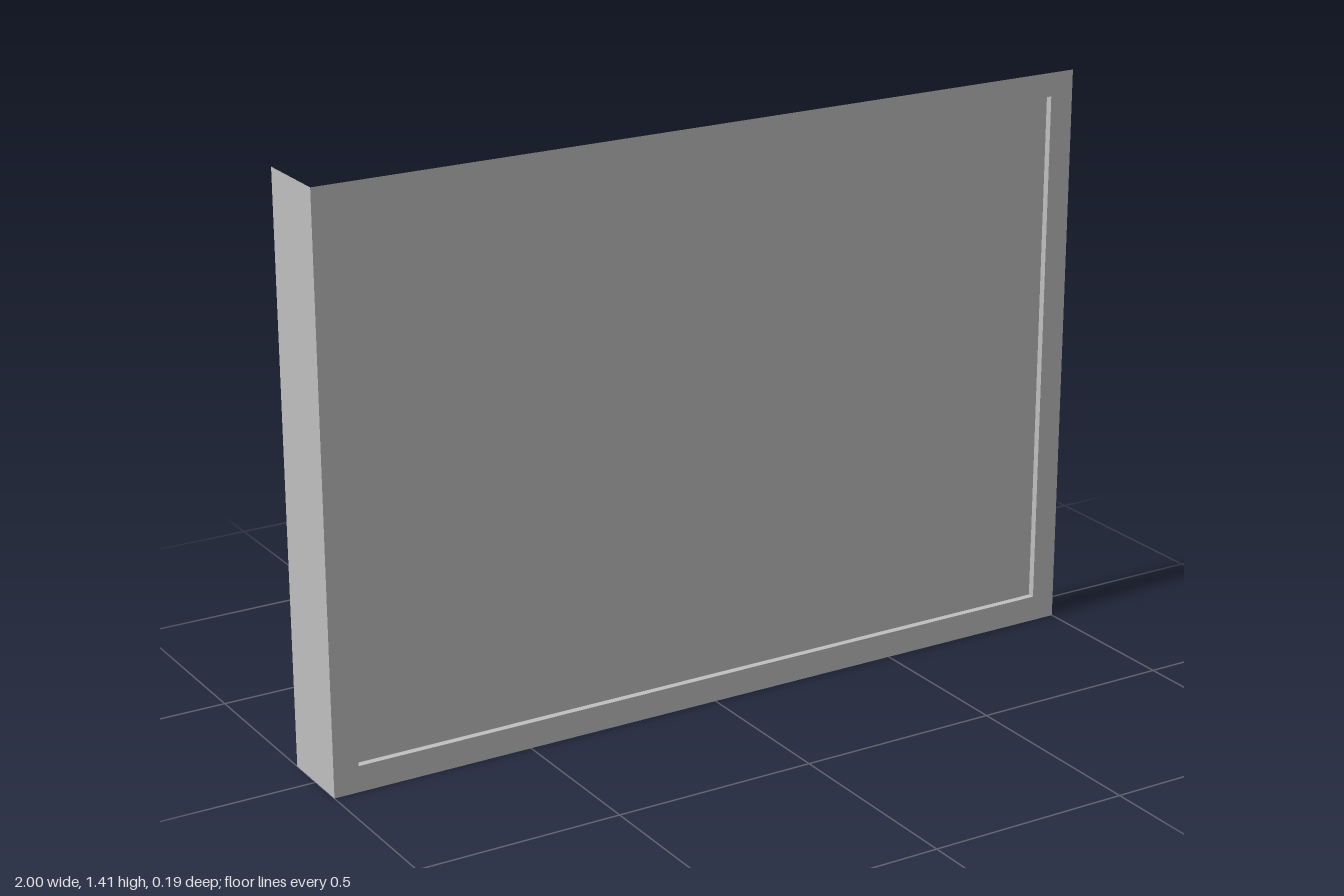
import * as THREE from 'three';

const W = 2, H = 1.41, ZF = 0.097, DEPTH = 0.194;        // overall casing
const OX = 0.938, Y0 = 0.064, Y1 = 1.352, ZP = 0.08;     // opening and recessed panel

export function createModel() {
  const group = new THREE.Group();
  const grey = new THREE.MeshStandardMaterial({ color: 0xc0c0c0, side: THREE.DoubleSide });
  grey.name = 'plain grey';

  const add = (name, geometry, x, y, z, rx = 0, ry = 0) => {
    const mesh = new THREE.Mesh(geometry, grey);
    mesh.name = name;
    mesh.position.set(x, y, z);
    mesh.rotation.set(rx, ry, 0);
    group.add(mesh);
  };
  const plane = (w, h) => new THREE.PlaneGeometry(w, h);

  // Front frame: a flat sheet with a rectangular opening
  const frame = new THREE.Shape([[-W / 2, 0], [W / 2, 0], [W / 2, H], [-W / 2, H]]
    .map(p => new THREE.Vector2(...p)));
  frame.holes.push(new THREE.Path([[-OX, Y0], [-OX, Y1], [OX, Y1], [OX, Y0]]
    .map(p => new THREE.Vector2(...p))));
  add('frontFrame', new THREE.ShapeGeometry(frame), 0, 0, ZF);

  // Recessed panel and the four returns joining it to the frame
  const midY = (Y0 + Y1) / 2, midZ = (ZF + ZP) / 2, d = ZF - ZP;
  add('recessedPanel', plane(2 * OX, Y1 - Y0), 0, midY, ZP);
  for (const s of [-1, 1]) {
    add('sideReturn', plane(d, Y1 - Y0), s * OX, midY, midZ, 0, -s * Math.PI / 2);
    add(s < 0 ? 'bottomReturn' : 'topReturn', plane(2 * OX, d),
      0, s < 0 ? Y0 : Y1, midZ, s * Math.PI / 2);
  }

  // Open casing: floor and one side wall
  add('floor', plane(W, DEPTH), 0, 0, 0, -Math.PI / 2);
  add('rightWall', plane(DEPTH, H), -W / 2, H / 2, 0, 0, Math.PI / 2);

  // Two slim rails across the back of the panel
  for (const y of [1.27, 0.96]) {
    add('backRail', new THREE.BoxGeometry(1.935, 0.014, 0.006), 0, y, 0.077);
  }
  return group;
}
